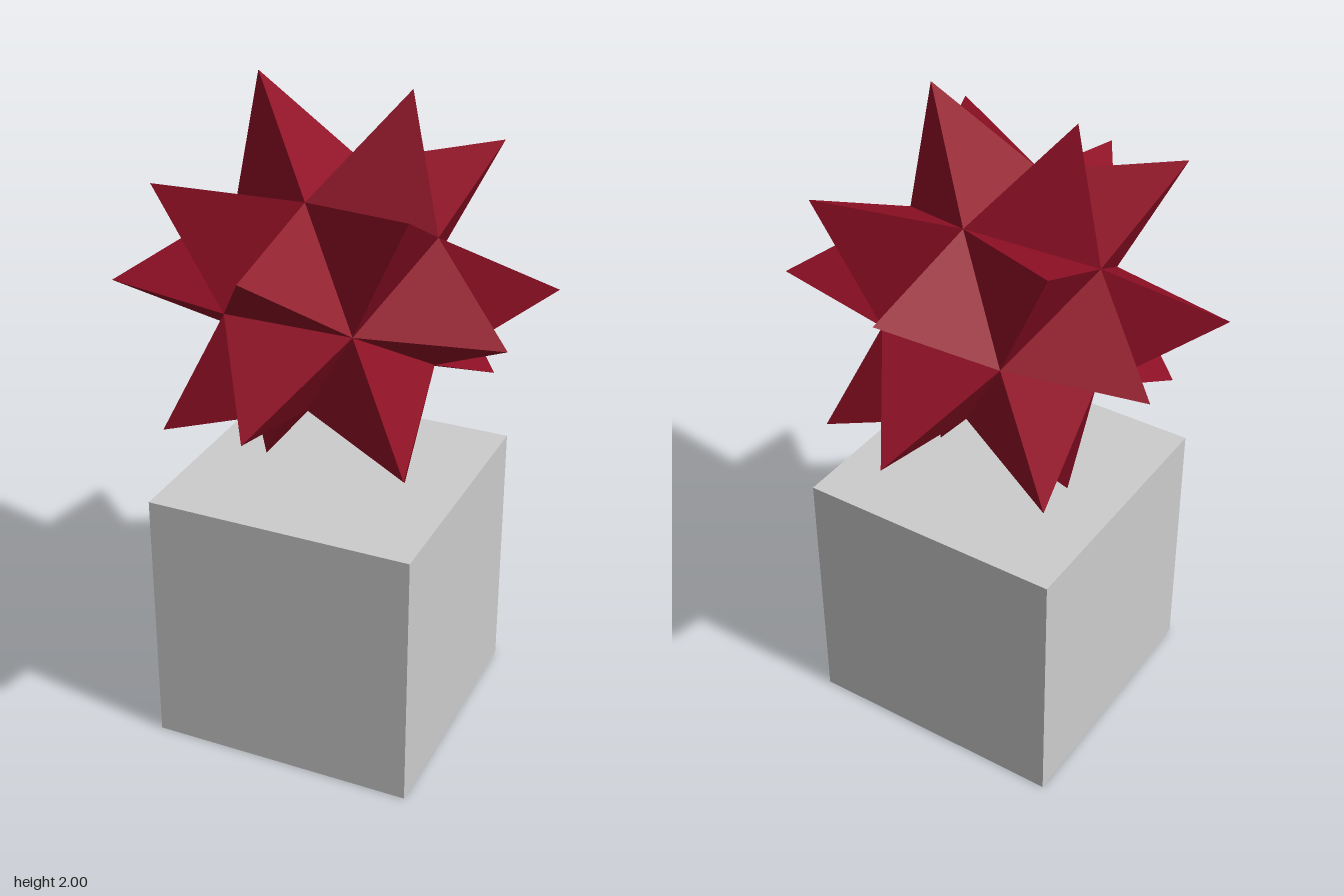
import * as THREE from 'three';

const CUBE = 0.812;    // edge of the plinth
const CORE = 0.364;    // circumradius of the icosahedral core
const TIP = 0.636;     // distance from the star's centre to each spike tip
const CENTRE_Y = 1.406;

// Icosahedron with a three-sided spike raised on every face
function starGeometry() {
  const core = new THREE.IcosahedronGeometry(CORE).rotateY(Math.PI / 2);
  const pos = core.getAttribute('position');
  const points = [];
  for (let i = 0; i < pos.count; i += 3) {
    const corners = [0, 1, 2].map((k) => new THREE.Vector3().fromBufferAttribute(pos, i + k));
    const tip = new THREE.Vector3();
    corners.forEach((c) => tip.add(c));
    tip.setLength(TIP);
    for (let k = 0; k < 3; k++) points.push(corners[k], corners[(k + 1) % 3], tip);
  }
  const geometry = new THREE.BufferGeometry().setFromPoints(points);
  geometry.computeVertexNormals();
  return geometry;
}

export function createModel() {
  const model = new THREE.Group();
  model.name = 'starOnPlinth';

  const stone = new THREE.MeshStandardMaterial({ color: 0xcccccc });
  stone.name = 'light grey';
  const crimson = new THREE.MeshStandardMaterial({ color: 0x900f25 });
  crimson.name = 'dark crimson';

  // Plinth
  const plinth = new THREE.Mesh(new THREE.BoxGeometry(CUBE, CUBE, CUBE), stone);
  plinth.name = 'plinth';
  plinth.position.y = CUBE / 2;

  // Star, balanced on its two lowest tips
  const star = new THREE.Mesh(starGeometry(), crimson);
  star.name = 'spikedStar';
  star.position.y = CENTRE_Y;

  model.add(plinth, star);
  return model;
}
